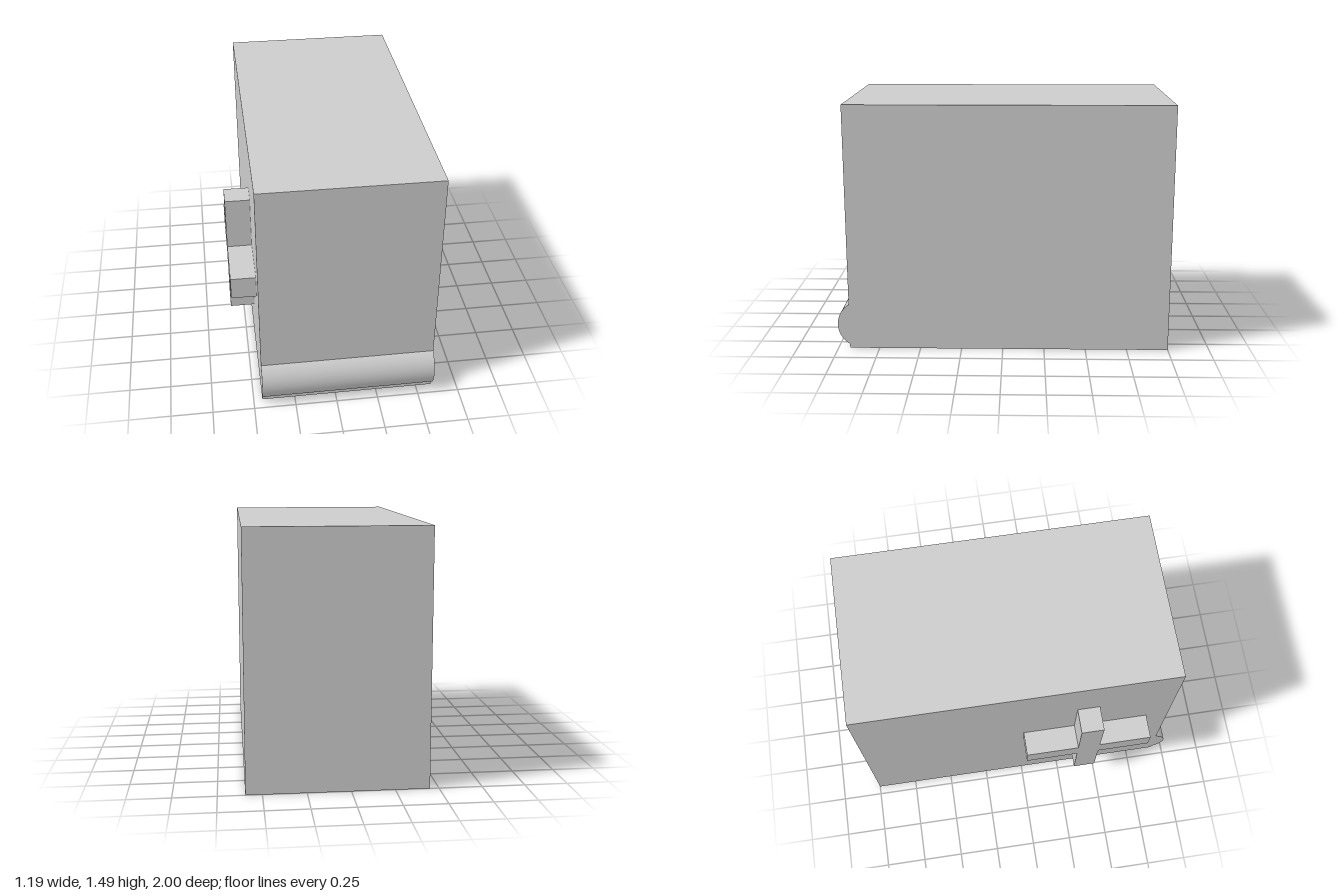
import * as THREE from 'three';
import { toCreasedNormals } from 'three/addons/utils/BufferGeometryUtils.js';

// Extrudes a side profile drawn in (z, y) towards -x, starting at xStart
function extrudeSideways(shape, xStart, width) {
  const geometry = new THREE.ExtrudeGeometry(shape, { depth: width, bevelEnabled: false, curveSegments: 32 });
  geometry.rotateY(-Math.PI / 2).translate(xStart, 0, 0);
  return toCreasedNormals(geometry, 0.5);
}

export function createModel() {
  const model = new THREE.Group();
  const grey = new THREE.MeshStandardMaterial({ color: 0xcccccc });
  grey.name = 'light grey';

  const add = (name, geometry) => {
    const mesh = new THREE.Mesh(geometry, grey);
    mesh.name = name;
    model.add(mesh);
  };

  // Box body with a rounded lip along the lower front edge
  const front = 0.93, height = 1.487;
  const lipRadius = 0.147, lipY = 0.15, lipZ = 1 - lipRadius;
  const lipAngle = Math.acos((front - lipZ) / lipRadius);
  const profile = new THREE.Shape();
  profile.moveTo(-1, 0);
  profile.lineTo(front, 0);
  profile.absarc(lipZ, lipY, lipRadius, -lipAngle, lipAngle, false);
  profile.lineTo(front, height);
  profile.lineTo(-1, height);
  profile.closePath();
  add('body', extrudeSideways(profile, 0.595, 1.043));

  // Cross-shaped handle on the right side
  const a = 0.39, b = 0.068;
  const corners = [
    [-b, -a], [b, -a], [b, -b], [a, -b], [a, b], [b, b],
    [b, a], [-b, a], [-b, b], [-a, b], [-a, -b], [-b, -b],
  ];
  const cross = new THREE.Shape(corners.map(([z, y]) => new THREE.Vector2(z + 0.398, y + 0.758)));
  add('crossHandle', extrudeSideways(cross, -0.448, 0.147));

  return model;
}
